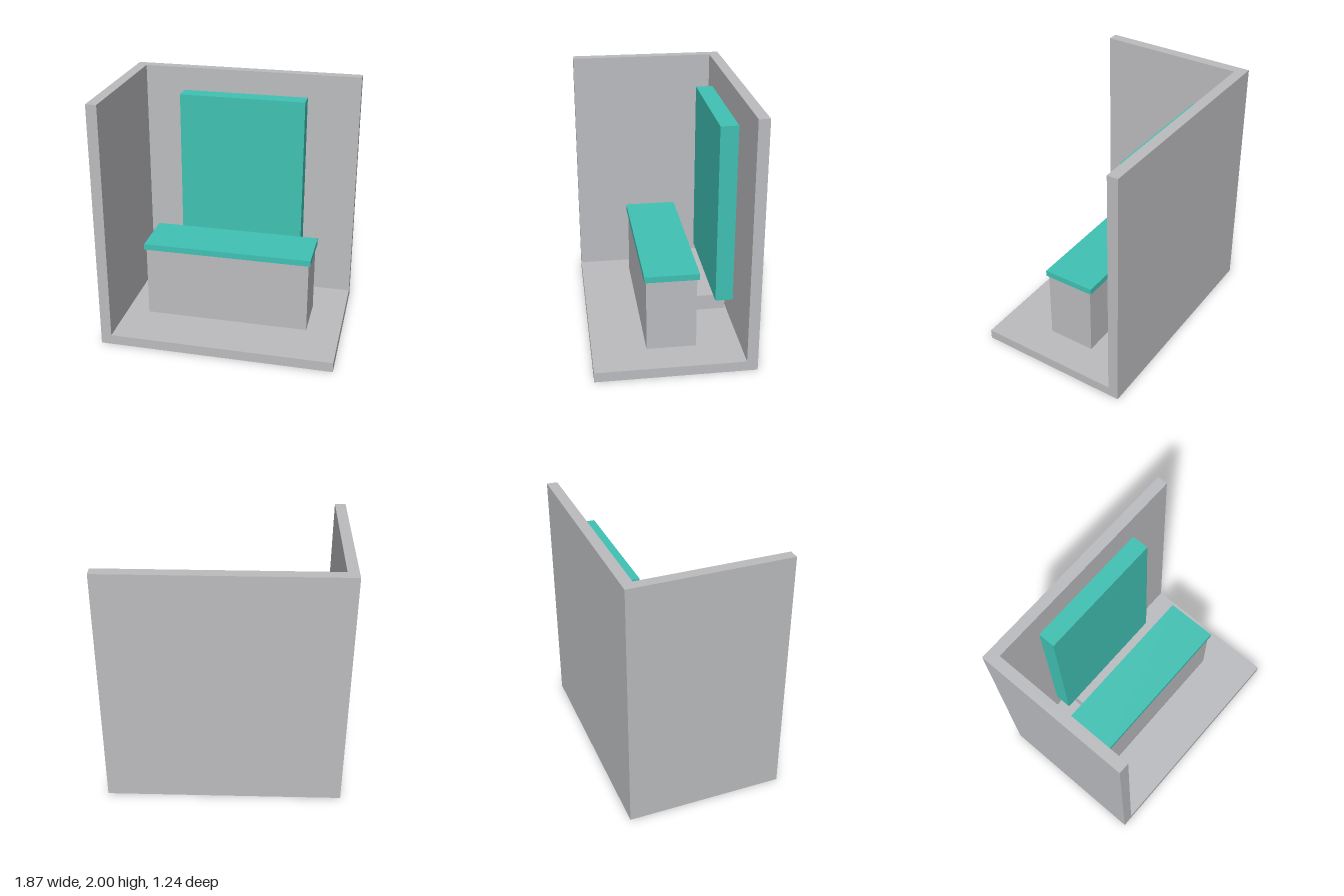
import * as THREE from 'three';

export function createModel() {
  const model = new THREE.Group();
  model.name = 'boothWithBench';

  const grey = new THREE.MeshStandardMaterial({ color: 0xbcbdc0 });
  grey.name = 'grey';
  const teal = new THREE.MeshStandardMaterial({ color: 0x40c2b4 });
  teal.name = 'teal';

  // Adds a box given its [min, max] range on each axis
  function addBox(name, material, [x0, x1], [y0, y1], [z0, z1]) {
    const mesh = new THREE.Mesh(new THREE.BoxGeometry(x1 - x0, y1 - y0, z1 - z0), material);
    mesh.position.set((x0 + x1) / 2, (y0 + y1) / 2, (z0 + z1) / 2);
    mesh.name = name;
    model.add(mesh);
  }

  const W = 0.935, D = 0.622, H = 2; // half width, half depth, height
  const floorTop = 0.08, sideInner = -0.85, backInner = -0.537;

  // Floor and the L-shaped pair of walls standing on it
  addBox('floor', grey, [-W, W], [0, floorTop], [-D, D]);

  const plan = new THREE.Shape([
    [-W, -D], [sideInner, -D], [sideInner, -backInner],
    [W, -backInner], [W, D], [-W, D],
  ].map(([x, y]) => new THREE.Vector2(x, y)));
  const wallGeometry = new THREE.ExtrudeGeometry(plan, { depth: H - floorTop, bevelEnabled: false });
  wallGeometry.rotateX(-Math.PI / 2); // plan y becomes -z, depth becomes height
  const walls = new THREE.Mesh(wallGeometry, grey);
  walls.position.y = floorTop;
  walls.name = 'walls';
  model.add(walls);

  // Bench: base, overhanging seat, bracket and upright backrest
  addBox('benchBase', grey, [-0.667, 0.664], [floorTop, 0.667], [-0.192, 0.197]);
  addBox('seat', teal, [-0.682, 0.679], [0.667, 0.716], [-0.21, 0.212]);
  addBox('backrestBracket', grey, [-0.418, 0.416], [0.252, 0.377], [-0.46, -0.192]);
  addBox('backrest', teal, [-0.517, 0.514], [0.38, 1.817], [-0.505, -0.367]);

  return model;
}
